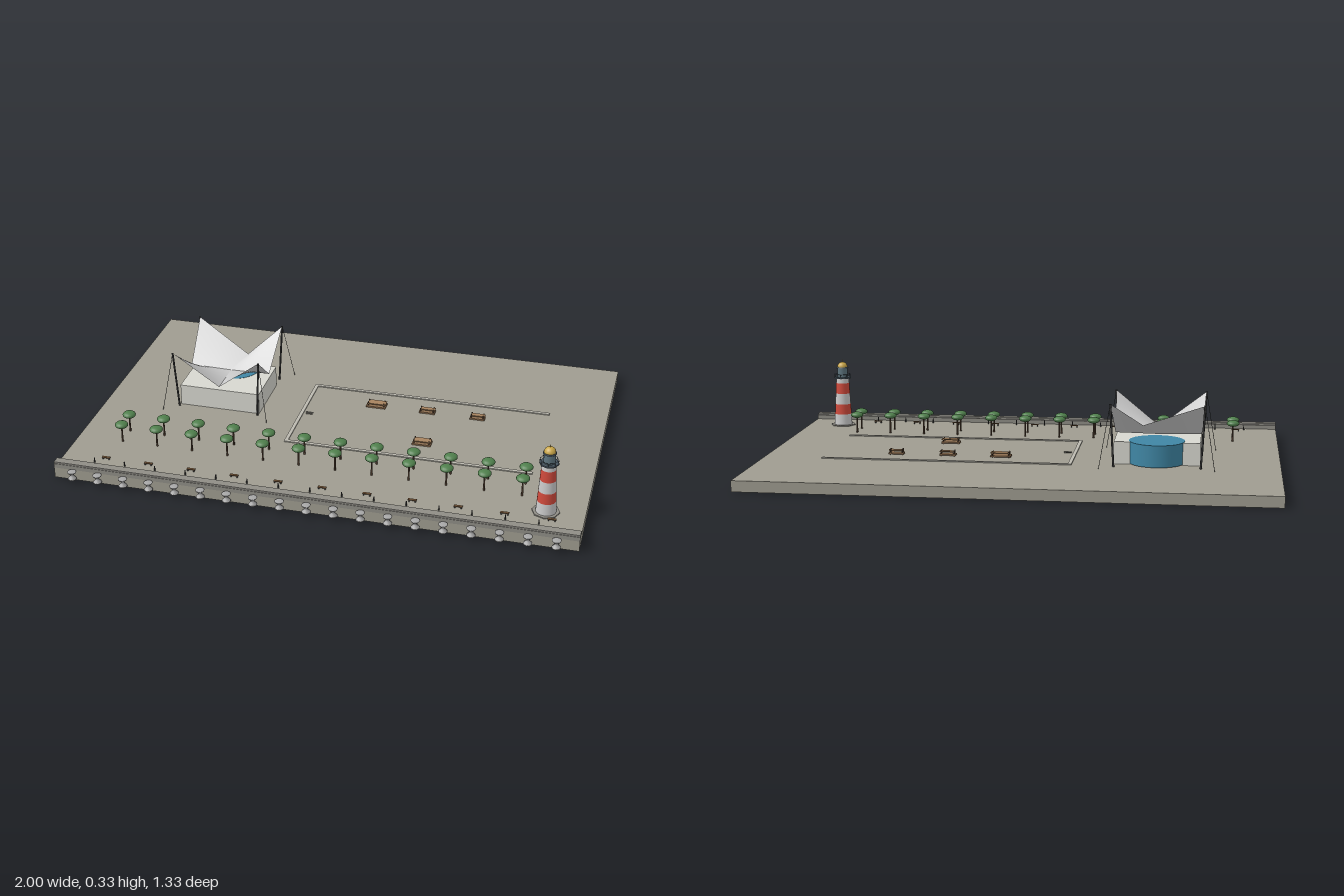
import * as THREE from 'three';

const G = 0.043; // ground level

export function createModel() {
  const root = new THREE.Group();
  const mats = {};
  const mat = (color, thin = false) => {
    const key = `${color}|${thin}`;
    return (mats[key] ??= new THREE.MeshStandardMaterial({ color, side: thin ? THREE.DoubleSide : THREE.FrontSide }));
  };
  const add = (name, geo, color, x = 0, y = 0, z = 0, parent = root, thin = false) => {
    const m = new THREE.Mesh(geo, mat(color, thin));
    m.name = name;
    m.position.set(x, y, z);
    parent.add(m);
    return m;
  };
  const box = (name, color, x0, x1, y0, y1, z0, z1, parent) =>
    add(name, new THREE.BoxGeometry(x1 - x0, y1 - y0, z1 - z0), color,
      (x0 + x1) / 2, (y0 + y1) / 2, (z0 + z1) / 2, parent);
  const group = (name, x = 0, y = 0, z = 0) => {
    const g = new THREE.Group();
    g.name = name;
    g.position.set(x, y, z);
    root.add(g);
    return g;
  };
  // Straight round bar between two points
  const bar = (name, a, b, r, color, parent) => {
    const p = new THREE.Vector3(...a), q = new THREE.Vector3(...b);
    const m = add(name, new THREE.CylinderGeometry(r, r, p.distanceTo(q), 8), color, 0, 0, 0, parent);
    m.position.copy(p).lerp(q, 0.5);
    m.quaternion.setFromUnitVectors(new THREE.Vector3(0, 1, 0), q.sub(p).normalize());
  };

  // Quay slab, basin floor and sea wall
  box('quaySlab', 0x9f9c90, -1, 1, 0.0006, G, -0.667, 0.63);
  box('basinFloor', 0x2a6878, -0.2, 0.76, 0, 0.01, -0.12, 0.235);
  box('seaWall', 0x8f8d86, -1, 1, G, 0.06, 0.588, 0.63);
  box('seaWallCap', 0x8f8d86, -1, 1, 0.06, 0.067, 0.597, 0.628);

  // Basin kerb, open at the left end
  for (const z of [-0.235, 0.225]) box('basinKerb', 0xbcbab0, -0.207, 0.77, G, 0.047, z - 0.007, z + 0.007);
  box('basinKerb', 0xbcbab0, -0.207, -0.193, G, 0.047, -0.235, 0.225);
  for (let i = 0; i < 3; i++) box('step', 0x77756e, -0.185, -0.155, G, G + 0.002, -0.016 + i * 0.007, -0.013 + i * 0.007);

  // Hourglass breakwater blocks along the sea wall
  const blockGeo = new THREE.LatheGeometry(
    [[0, -0.016], [0.017, -0.016], [0.016, -0.012], [0.007, -0.003], [0.007, 0.003], [0.016, 0.012], [0.017, 0.016], [0, 0.016]]
      .map(([x, y]) => new THREE.Vector2(x, y)), 12);
  for (let i = 0; i < 19; i++) add('breakwaterBlock', blockGeo, 0xa8a8a8, -0.92 + i * 0.1022, 0.032, 0.649);

  // Two rows of trees
  const trunkGeo = new THREE.CylinderGeometry(0.003, 0.004, 0.07, 8);
  const crownGeo = new THREE.SphereGeometry(0.026, 16, 10).scale(1, 0.5, 1);
  for (let i = 0; i < 12; i++) for (const z of [0.302, 0.384]) {
    const tree = group('tree', -0.818 + i * 0.143, G, z);
    add('trunk', trunkGeo, 0x5a4636, 0, 0.035, 0, tree);
    add('crown', crownGeo, 0x4f7f4c, 0, 0.075, 0, tree);
  }

  // Promenade benches and small posts
  for (let i = 0; i < 11; i++) {
    const bench = group('bench', -0.83 + i * 0.1715, G, 0.525);
    box('seat', 0x7a5a3c, -0.016, 0.016, 0.007, 0.01, -0.005, 0.005, bench);
    for (const x of [-0.012, 0.012]) box('leg', 0x444444, x - 0.002, x + 0.002, 0, 0.007, -0.004, 0.004, bench);
  }
  const postGeo = new THREE.CylinderGeometry(0.002, 0.003, 0.02, 6);
  for (let i = 0; i < 15; i++) add('quayPost', postGeo, 0x444444, -0.865 + i * 0.122, G + 0.01, 0.557);

  // Wooden rafts with a raised deck
  for (const [x, z, w, d] of [[0.08, -0.128, 0.08, 0.042], [0.29, -0.128, 0.064, 0.03], [0.495, -0.128, 0.06, 0.03], [0.32, 0.116, 0.074, 0.04]]) {
    const raft = group('raft', x, G, z);
    box('raftBase', 0x8d6e50, -w / 2, w / 2, 0.003, 0.009, -d / 2, d / 2, raft);
    box('raftDeck', 0xa8845f, -w / 2 + 0.006, w / 2, 0.016, 0.02, -d / 2 + 0.005, d / 2 - 0.005, raft);
    for (const sx of [-1, 1]) for (const sz of [-1, 1])
      bar('raftPost', [sx * w * 0.4, 0, sz * d * 0.3], [sx * w * 0.4, 0.023, sz * d * 0.3], 0.0025, 0x5a4636, raft);
  }

  // Lighthouse
  const tower = group('lighthouse', 0.855, 0, 0.467);
  const ring = (name, color, r0, r1, y0, y1, n = 24) =>
    add(name, new THREE.CylinderGeometry(r1, r0, y1 - y0, n), color, 0, (y0 + y1) / 2, 0, tower);
  ring('lighthouseBase', 0x8f8d86, 0.052, 0.052, 0, 0.047, 8);
  const bands = [0.045, 0.093, 0.136, 0.182, 0.227, 0.247];
  const radius = (y) => 0.038 - (y - 0.045) * 0.055;
  for (let i = 0; i < 5; i++)
    ring('towerBand', i % 2 ? 0xd04a3c : 0xdcdcd8, radius(bands[i]), radius(bands[i + 1]), bands[i], bands[i + 1]);
  ring('gallery', 0x46545e, 0.036, 0.036, 0.247, 0.253, 8);
  ring('lanternRoom', 0x5f7680, 0.022, 0.022, 0.253, 0.293, 12);
  ring('lanternEaves', 0x46545e, 0.026, 0.024, 0.291, 0.296, 12);
  const rail = add('galleryRail', new THREE.TorusGeometry(0.034, 0.001, 5, 8), 0x46545e, 0, 0.265, 0, tower);
  rail.rotation.x = Math.PI / 2;
  for (let i = 0; i < 8; i++) {
    const a = i * Math.PI / 4, c = 0.034 * Math.cos(a), s = 0.034 * Math.sin(a);
    bar('railPost', [c, 0.252, s], [c, 0.265, s], 0.001, 0x46545e, tower);
  }
  add('lanternDome', new THREE.SphereGeometry(0.022, 16, 8, 0, Math.PI * 2, 0, Math.PI / 2), 0xc9a648, 0, 0.295, 0, tower);
  ring('finial', 0xc9a648, 0.002, 0.001, 0.315, 0.327, 6);

  // Pavilion hall and glazed drum
  const pav = group('pavilion');
  box('hall', 0xd8d8d0, -0.695, -0.365, G, 0.13, -0.197, 0.047, pav);
  add('glassDrum', new THREE.CylinderGeometry(0.107, 0.107, 0.085, 40), 0x3f86a4, -0.528, G + 0.0455, -0.16, pav);

  // Four sails: each a ruled patch from the low centre to a high corner
  const centre = [-0.528, 0.145, -0.1];
  const mid = {
    front: [-0.528, 0.148, 0.055], left: [-0.365, 0.148, -0.1],
    right: [-0.698, 0.148, -0.1], back: [-0.475, 0.19, -0.17],
  };
  const sail = (a, peak, b) => {
    const n = 8, pos = [], idx = [];
    for (let i = 0; i <= n; i++) for (let j = 0; j <= n; j++) {
      const u = i / n, v = j / n;
      for (let k = 0; k < 3; k++)
        pos.push(centre[k] * (1 - u) * (1 - v) + a[k] * u * (1 - v) + b[k] * (1 - u) * v + peak[k] * u * v);
      if (i < n && j < n) {
        const p = i * (n + 1) + j, q = p + n + 1;
        idx.push(p, p + 1, q, q, p + 1, q + 1);
      }
    }
    const g = new THREE.BufferGeometry();
    g.setAttribute('position', new THREE.Float32BufferAttribute(pos, 3));
    g.setIndex(idx);
    g.computeVertexNormals();
    add('sail', g, 0xcccccc, 0, 0, 0, pav, true);
  };
  for (const sx of [-1, 1]) for (const sz of [-1, 1]) {
    const peak = [-0.533 + sx * 0.178, 0.286, -0.095 + sz * 0.168];
    const front = sz > 0, left = sx > 0;
    const side = left ? mid.left : mid.right, end = front ? mid.front : mid.back;
    if (left === front) sail(end, peak, side);
    else sail(side, peak, end);
    // Mast and guy wire
    bar('mast', [-0.533 + sx * 0.165, G, -0.095 + sz * 0.156], peak, 0.004, 0x3c3c3c, pav);
    bar('guyWire', [-0.533 + sx * 0.218, G, -0.095 + sz * 0.205], peak, 0.001, 0x3c3c3c, pav);
  }
  return root;
}
